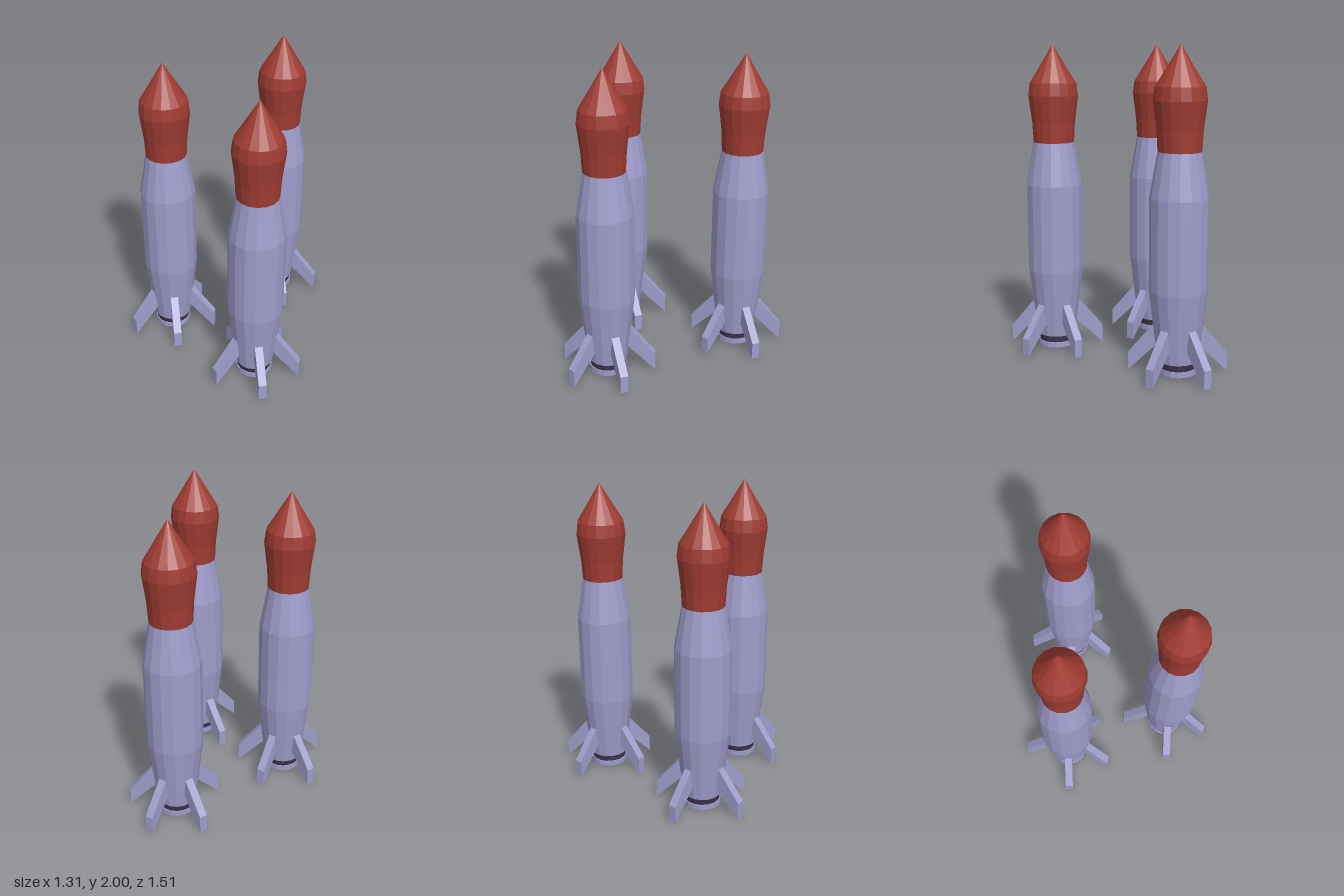
import * as THREE from 'three';

const SIDES = 16;
const paint = (color) => new THREE.MeshStandardMaterial({ color, flatShading: true });

// Faceted solid of revolution from [radius, height] pairs, bottom to top
function turned(name, profile, material) {
  const points = profile.map(([r, y]) => new THREE.Vector2(r, y));
  const mesh = new THREE.Mesh(new THREE.LatheGeometry(points, SIDES), material);
  mesh.name = name;
  return mesh;
}

// Swept fin slab, drawn in the (radius, height) plane and centred on its thickness
function finGeometry() {
  const thickness = 0.052;
  const outline = new THREE.Shape([
    new THREE.Vector2(0.115, 0.195),
    new THREE.Vector2(0.309, 0),
    new THREE.Vector2(0.309, 0.115),
    new THREE.Vector2(0.146, 0.31),
    new THREE.Vector2(0.115, 0.31),
  ]);
  const geometry = new THREE.ExtrudeGeometry(outline, { depth: thickness, bevelEnabled: false });
  return geometry.translate(0, 0, -thickness / 2);
}

function createRocket() {
  const rocket = new THREE.Group();
  const lilac = paint(0xa09dcb);
  const red = paint(0xa03c33);
  const dark = paint(0x3a3048);

  rocket.add(
    turned('basePlate', [[0, 0.01], [0.122, 0.01], [0.122, 0.045], [0, 0.045]], lilac),
    turned('darkCollar', [[0, 0.045], [0.115, 0.045], [0.115, 0.09], [0, 0.09]], dark),
    turned('body', [[0, 0.088], [0.126, 0.088], [0.18, 0.53], [0.18, 1.1], [0.132, 1.375]], lilac),
    turned('noseCone', [
      [0.132, 1.375], [0.139, 1.5], [0.161, 1.675], [0.15, 1.755], [0.1, 1.835], [0, 2],
    ], red),
  );

  // Five fins on facet centres, with one wider gap
  const geometry = finGeometry();
  for (const degrees of [56.25, 123.75, 213.75, 281.25, 348.75]) {
    const fin = new THREE.Mesh(geometry, lilac);
    fin.name = 'fin';
    fin.rotation.y = THREE.MathUtils.degToRad(degrees);
    rocket.add(fin);
  }
  return rocket;
}

export function createModel() {
  const model = new THREE.Group();
  model.name = 'rocketCluster';

  // Three identical rockets standing apart
  const places = [['leftRocket', 0.347, -0.485], ['frontRocket', 0.201, 0.45], ['rightRocket', -0.388, -0.025]];
  for (const [name, x, z] of places) {
    const rocket = createRocket();
    rocket.name = name;
    rocket.position.set(x, 0, z);
    model.add(rocket);
  }
  return model;
}
